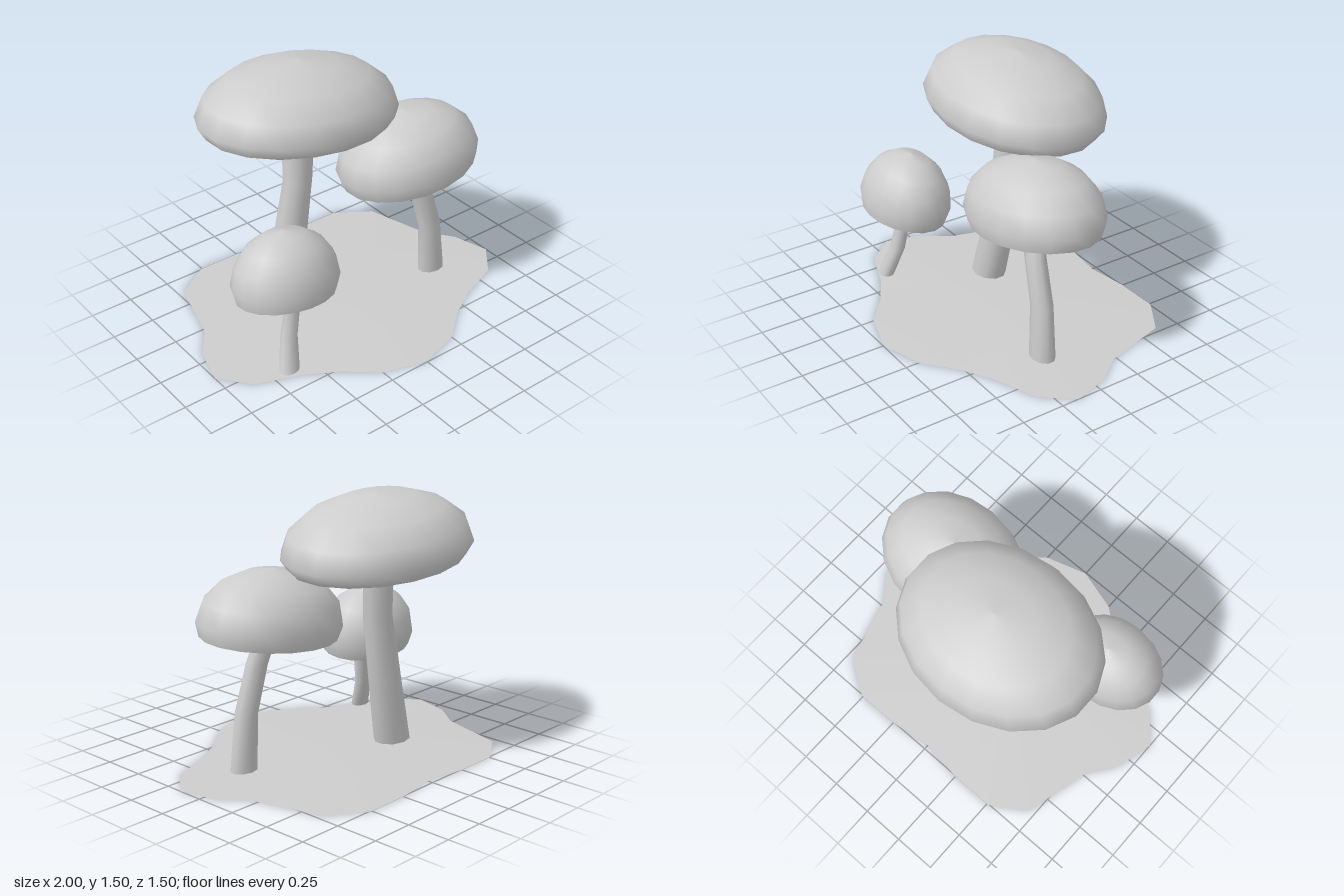
import * as THREE from 'three';
import { toCreasedNormals } from 'three/addons/utils/BufferGeometryUtils.js';

const grey = new THREE.MeshStandardMaterial({ color: 0xcccccc });
grey.name = 'plain grey';
const groundGrey = grey.clone();
groundGrey.name = 'ground grey';
groundGrey.side = THREE.DoubleSide;

function add(parent, name, geometry, material = grey) {
  const mesh = new THREE.Mesh(geometry, material);
  mesh.name = name;
  parent.add(mesh);
  return mesh;
}

// Bent stem: each ring is [x, y, z, radius across x, radius across z]
function stemGeometry(rings) {
  const n = rings.length - 1;
  const geo = new THREE.CylinderGeometry(1, 1, 1, 10, n);
  const pos = geo.attributes.position;
  for (let i = 0; i < pos.count; i++) {
    const [x, y, z, rx, rz] = rings[Math.round((pos.getY(i) + 0.5) * n)];
    pos.setXYZ(i, x + pos.getX(i) * rx, y, z + pos.getZ(i) * rz);
  }
  return toCreasedNormals(geo, 0.9);
}

// Domed cap with an inward-turned rim and a flat underside, tilted as one
function addCap(parent, { at, radius, height, drop, lip, tilt }) {
  const cap = new THREE.Group();
  cap.name = 'cap';
  const profile = [new THREE.Vector2(lip, -drop)];
  for (let i = 0; i <= 4; i++) {
    const a = (i / 4) * Math.PI / 2;
    profile.push(new THREE.Vector2(i === 4 ? 0 : Math.cos(a), height * Math.sin(a)));
  }
  add(cap, 'dome', new THREE.LatheGeometry(profile, 18));
  const under = new THREE.CircleGeometry(lip, 18, Math.PI / 2);
  under.rotateX(Math.PI / 2);
  add(cap, 'underside', under.translate(0, -drop, 0));
  cap.scale.set(radius[0], 1, radius[1]);
  cap.rotation.set(tilt[0], 0, tilt[1]);
  cap.position.set(...at);
  parent.add(cap);
}

// Low domed ground patch with a mirrored wavy outline
function groundGeometry() {
  const half = [[0, -0.72], [0.25, -0.755], [0.51, -0.755], [0.715, -0.62], [0.82, -0.23], [0.94, -0.07],
    [1, 0.15], [0.86, 0.32], [0.6, 0.42], [0.43, 0.52], [0.25, 0.67], [0, 0.745]];
  const outline = [...half, ...half.slice(1, -1).reverse().map(([x, z]) => [-x, z])];
  const n = outline.length;
  const verts = [0, 0.018, 0];
  for (const [s, y] of [[0.5, 0.014], [1, 0]]) {
    for (const [x, z] of outline) verts.push(x * s, y, z * s);
  }
  const index = [];
  for (let i = 0; i < n; i++) {
    const a = 1 + i, b = 1 + (i + 1) % n;
    index.push(0, b, a, a, b, b + n, a, b + n, a + n);
  }
  const geo = new THREE.BufferGeometry();
  geo.setAttribute('position', new THREE.Float32BufferAttribute(verts, 3));
  geo.setIndex(index);
  geo.computeVertexNormals();
  return geo;
}

const mushrooms = [
  {
    name: 'tallMushroom',
    stem: [[-0.33, 0.015, -0.18, 0.12, 0.095], [-0.235, 0.42, -0.2, 0.108, 0.085],
      [-0.17, 0.8, -0.2, 0.09, 0.078], [-0.147, 1.16, -0.225, 0.1, 0.075]],
    cap: { at: [-0.14, 1.2, -0.225], radius: [0.603, 0.47], height: 0.3, drop: 0.07, lip: 0.92, tilt: [-0.04, -0.083] },
  },
  {
    name: 'middleMushroom',
    stem: [[0.595, 0.02, 0.09, 0.086, 0.066], [0.575, 0.34, 0.085, 0.072, 0.058],
      [0.5, 0.6, 0.078, 0.07, 0.054], [0.445, 0.79, 0.045, 0.071, 0.05]],
    cap: { at: [0.43, 0.838, 0.038], radius: [0.445, 0.349], height: 0.293, drop: 0.08, lip: 0.94, tilt: [-0.05, 0.09] },
  },
  {
    name: 'smallMushroom',
    stem: [[-0.65, 0.02, 0.355, 0.061, 0.046], [-0.607, 0.19, 0.295, 0.052, 0.042],
      [-0.563, 0.38, 0.275, 0.048, 0.038], [-0.567, 0.48, 0.268, 0.048, 0.038]],
    cap: { at: [-0.58, 0.53, 0.242], radius: [0.314, 0.25], height: 0.29, drop: 0.08, lip: 0.93, tilt: [-0.13, -0.08] },
  },
];

export function createModel() {
  const model = new THREE.Group();
  model.name = 'mushroomCluster';
  add(model, 'ground', groundGeometry(), groundGrey);
  for (const { name, stem, cap } of mushrooms) {
    const mushroom = new THREE.Group();
    mushroom.name = name;
    add(mushroom, 'stem', stemGeometry(stem));
    addCap(mushroom, cap);
    model.add(mushroom);
  }
  return model;
}
